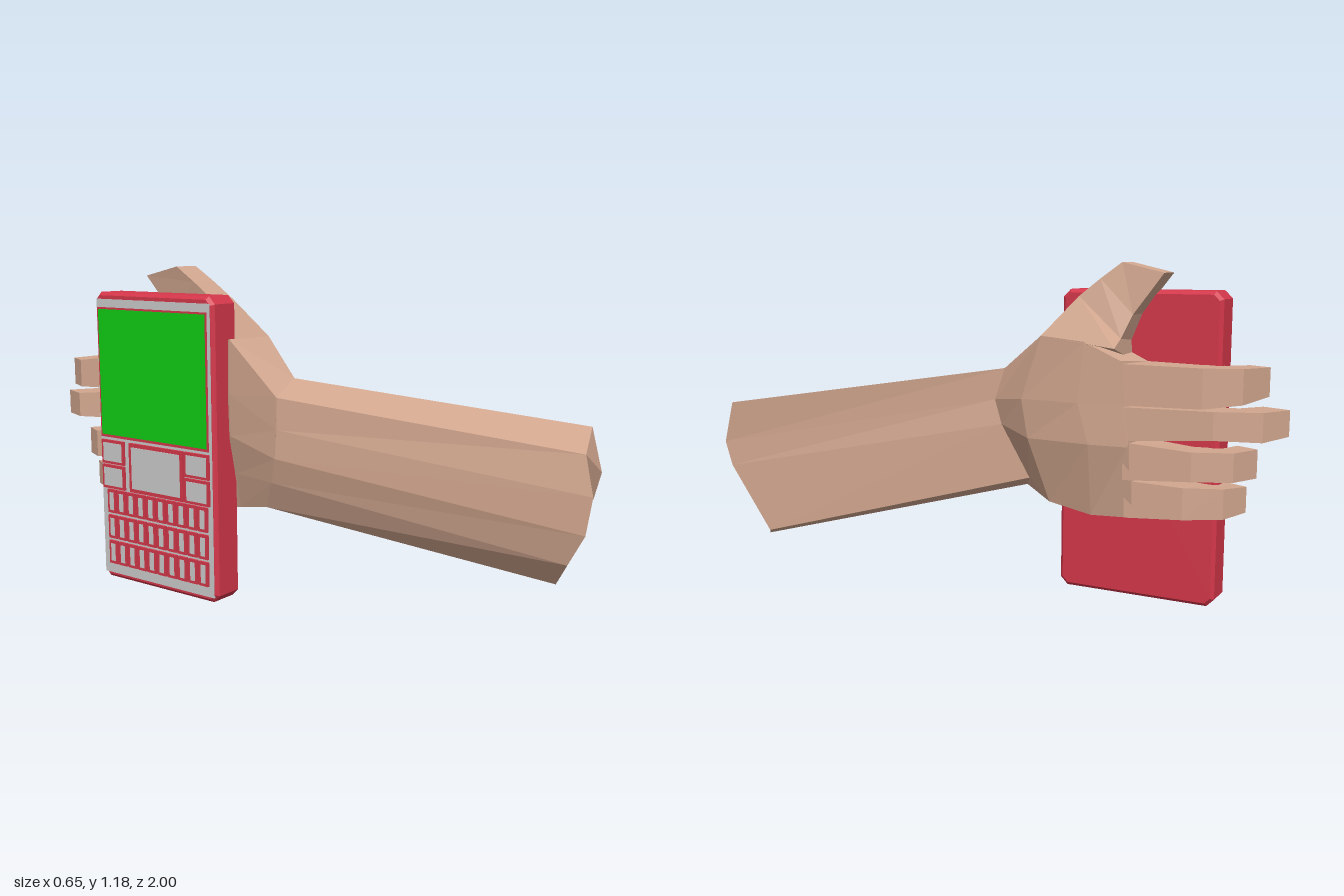
import * as THREE from 'three';

const material = (name, color) => {
  const m = new THREE.MeshStandardMaterial({ color });
  m.name = name;
  return m;
};

// Flat-shaded skin through closed rings of [x, y, z] points, capped at both ends
function loft(rings) {
  const pos = [];
  const tri = (...pts) => pts.forEach((p) => pos.push(...p));
  const n = rings[0].length;
  for (let r = 0; r < rings.length - 1; r++) {
    const a = rings[r], b = rings[r + 1];
    for (let i = 0; i < n; i++) {
      const j = (i + 1) % n;
      tri(a[i], a[j], b[i]);
      tri(a[j], b[j], b[i]);
    }
  }
  const first = rings[0], last = rings[rings.length - 1];
  for (let i = 1; i < n - 1; i++) {
    tri(first[0], first[i + 1], first[i]);
    tri(last[0], last[i], last[i + 1]);
  }
  const g = new THREE.BufferGeometry();
  g.setAttribute('position', new THREE.Float32BufferAttribute(pos, 3));
  g.computeVertexNormals();
  return g;
}

export function createModel() {
  const model = new THREE.Group();
  const skin = material('skin', 0xd2a78f);
  const red = material('red casing', 0xd4374a);
  const grey = material('light grey', 0xcacaca);
  const green = material('green screen', 0x10cc14);

  const add = (name, geometry, mat, parent = model) => {
    const mesh = new THREE.Mesh(geometry, mat);
    mesh.name = name;
    parent.add(mesh);
    return mesh;
  };

  // Forearm, from the cut end to the wrist
  const elbowRing = [
    [0.13, 0.615, 0.97], [0.325, 0.67, 0.91], [0.325, 0.52, 0.95], [0.315, 0.43, 0.93],
    [0.255, 0.18, 0.81], [0.195, 0.15, 0.86], [0.14, 0.24, 0.92], [0.13, 0.35, 0.98], [0.13, 0.48, 1.0],
  ];
  const wristRing = [
    [-0.26, 0.76, 0.04], [-0.095, 0.805, -0.01], [-0.085, 0.69, 0.025], [-0.09, 0.6, 0],
    [-0.14, 0.4, -0.09], [-0.205, 0.36, -0.05], [-0.24, 0.46, 0], [-0.26, 0.55, 0.03], [-0.26, 0.65, 0.04],
  ];
  add('forearm', loft([elbowRing, wristRing]), skin);

  // Palm, from the wrist to the knuckles
  const hand = new THREE.Group();
  hand.name = 'hand';
  model.add(hand);
  add('palm', loft([
    wristRing,
    [[-0.23, 0.94, -0.19], [0, 0.935, -0.2], [-0.01, 0.71, -0.12], [-0.02, 0.57, -0.14],
      [-0.08, 0.335, -0.2], [-0.17, 0.33, -0.2], [-0.2, 0.46, -0.19], [-0.23, 0.6, -0.19], [-0.235, 0.75, -0.19]],
    [[-0.18, 0.93, -0.35], [0, 0.92, -0.36], [0, 0.71, -0.34], [0, 0.57, -0.38],
      [-0.06, 0.31, -0.37], [-0.16, 0.31, -0.37], [-0.17, 0.46, -0.37], [-0.17, 0.6, -0.37], [-0.17, 0.75, -0.37]],
    [[-0.16, 0.85, -0.53], [-0.01, 0.86, -0.49], [-0.01, 0.71, -0.5], [-0.01, 0.57, -0.52],
      [-0.05, 0.32, -0.53], [-0.15, 0.32, -0.53], [-0.16, 0.46, -0.53], [-0.16, 0.6, -0.53], [-0.16, 0.75, -0.53]],
  ]), skin, hand);

  // Thumb
  add('thumb', loft([
    [[-0.18, 0.9, -0.2], [0, 0.935, -0.2], [0, 0.9, -0.47], [-0.17, 0.85, -0.47]],
    [[-0.18, 1.07, -0.31], [-0.07, 1.07, -0.31], [-0.06, 0.93, -0.47], [-0.16, 0.92, -0.47]],
    [[-0.195, 1.13, -0.38], [-0.09, 1.13, -0.38], [-0.09, 1.01, -0.5], [-0.18, 1.01, -0.5]],
    [[-0.21, 1.185, -0.45], [-0.11, 1.185, -0.45], [-0.11, 1.15, -0.6], [-0.21, 1.15, -0.6]],
  ]), skin, hand);

  // Fingers: each section is outer x, outer z, inner x, inner z, top y, bottom y
  const fingers = {
    indexFinger: [[-0.015, -0.49, -0.16, -0.5, 0.85, 0.71], [-0.05, -0.76, -0.16, -0.73, 0.845, 0.71],
      [-0.14, -0.87, -0.22, -0.79, 0.84, 0.72], [-0.29, -0.92, -0.33, -0.84, 0.835, 0.735]],
    middleFinger: [[-0.015, -0.5, -0.16, -0.5, 0.705, 0.59], [-0.05, -0.8, -0.16, -0.75, 0.705, 0.61],
      [-0.14, -0.94, -0.21, -0.84, 0.7, 0.6], [-0.25, -1, -0.29, -0.9, 0.7, 0.61]],
    ringFinger: [[-0.02, -0.5, -0.16, -0.5, 0.585, 0.455], [-0.05, -0.73, -0.16, -0.7, 0.565, 0.465],
      [-0.13, -0.85, -0.2, -0.79, 0.56, 0.46], [-0.24, -0.9, -0.28, -0.82, 0.56, 0.46]],
    littleFinger: [[-0.04, -0.5, -0.16, -0.5, 0.45, 0.32], [-0.06, -0.7, -0.16, -0.67, 0.44, 0.33],
      [-0.13, -0.82, -0.2, -0.76, 0.435, 0.33], [-0.23, -0.87, -0.27, -0.79, 0.43, 0.34]],
  };
  for (const [name, sections] of Object.entries(fingers)) {
    add(name, loft(sections.map(([ox, oz, ix, iz, t, b]) =>
      [[ix, t, iz], [ox, t, oz], [ox, b, oz], [ix, b, iz]])), skin, hand);
  }

  // Phone casing: chamfered outline extruded along x
  const phone = new THREE.Group();
  phone.name = 'phone';
  model.add(phone);
  const bevel = 0.012, c = 0.02;
  const u0 = 0.198 + bevel, u1 = 0.782 - bevel, v0 = bevel, v1 = 1.09 - bevel;
  const outline = new THREE.Shape([
    [u0 + c, v0], [u1 - c, v0], [u1, v0 + c], [u1, v1 - c],
    [u1 - c, v1], [u0 + c, v1], [u0, v1 - c], [u0, v0 + c],
  ].map(([u, v]) => new THREE.Vector2(u, v)));
  const casing = new THREE.ExtrudeGeometry(outline, {
    depth: 0.124 - 2 * bevel, bevelEnabled: true, bevelSize: bevel, bevelThickness: bevel, bevelSegments: 1,
  });
  casing.rotateY(Math.PI / 2).translate(-0.304 + bevel, 0, 0);
  add('casing', casing, red, phone);

  // Box on the phone face, given its x, y and z ranges
  const block = (name, mat, x0, x1, y0, y1, z0, z1) => {
    const g = new THREE.BoxGeometry(x1 - x0, y1 - y0, z1 - z0);
    g.translate((x0 + x1) / 2, (y0 + y1) / 2, (z0 + z1) / 2);
    return add(name, g, mat, phone);
  };
  block('facePanel', grey, -0.306, -0.3, 0.02, 1.065, -0.768, -0.212);
  block('screenFrame', red, -0.308, -0.304, 0.55, 1.035, -0.765, -0.225);
  block('screen', green, -0.31, -0.306, 0.56, 1.028, -0.758, -0.233);

  // Raised red button with a thin grey cap
  const button = (name, y0, y1, z0, z1, rim) => {
    block(name, red, -0.315, -0.304, y0, y1, z0, z1);
    block(name + 'Cap', grey, -0.317, -0.314, y0 + rim, y1 - rim, z0 + rim, z1 - rim);
  };
  button('navigationPad', 0.355, 0.54, -0.615, -0.345, 0.014);
  for (const z of [-0.758, -0.337]) {
    for (const y of [0.355, 0.45]) button('sideButton', y, y + 0.09, z, z + 0.115, 0.01);
  }

  // Keypad
  const columns = 10, pitch = 0.051;
  for (let row = 0; row < 3; row++) {
    for (let col = 0; col < columns; col++) {
      const y = 0.06 + row * 0.1, z = -0.735 + col * pitch;
      button('key', y, y + 0.09, z, z + 0.043, 0.011);
    }
  }
  return model;
}
